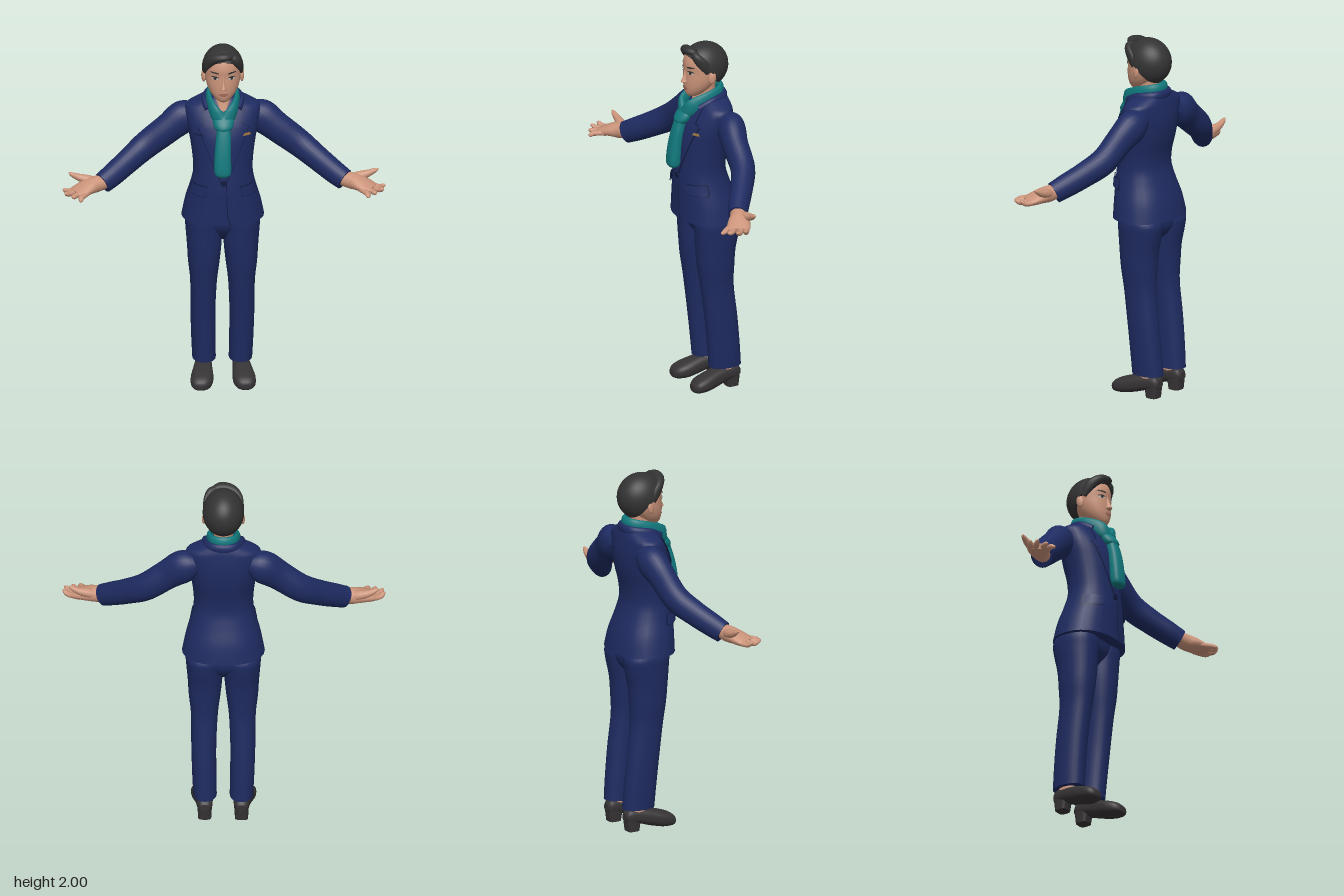
import * as THREE from 'three';

const mat = (name, color) => Object.assign(new THREE.MeshStandardMaterial({ color, side: THREE.DoubleSide }), { name });
const V = (x, y, z) => new THREE.Vector3(x, y, z);

// Catmull-Rom resampling of number rows
function smooth(rows, k = 5) {
  const out = [], at = i => rows[Math.min(Math.max(i, 0), rows.length - 1)];
  for (let i = 0; i < rows.length - 1; i++) {
    for (let j = 0; j < k; j++) {
      const t = j / k;
      out.push(rows[i].map((b, c) => {
        const a = at(i - 1)[c], d = at(i + 1)[c], e = at(i + 2)[c];
        return 0.5 * (2 * b + (d - a) * t + (2 * a - 5 * b + 4 * d - e) * t * t + (3 * b - a - 3 * d + e) * t ** 3);
      }));
    }
  }
  out.push(rows[rows.length - 1]);
  return out;
}

// Superellipse ring around c with half axes u and v (u x v points along the loft)
function ring(c, u, v, p = 2, n = 28) {
  return Array.from({ length: n }, (_, i) => {
    const a = i / n * Math.PI * 2, cs = Math.cos(a), sn = Math.sin(a);
    return c.clone()
      .addScaledVector(u, Math.sign(cs) * Math.abs(cs) ** (2 / p))
      .addScaledVector(v, Math.sign(sn) * Math.abs(sn) ** (2 / p));
  });
}

// Skin over rings, with sharp-edged caps
function loft(rings) {
  const pos = [], idx = [], n = rings[0].length, m = rings.length;
  const put = q => pos.push(q.x, q.y, q.z) / 3 - 1;
  rings.forEach(r => r.forEach(put));
  for (let i = 0; i < m - 1; i++) {
    for (let j = 0; j < n; j++) {
      const a = i * n + j, b = i * n + (j + 1) % n;
      idx.push(a, b, b + n, a, b + n, a + n);
    }
  }
  [rings[0], rings[m - 1]].forEach((r, end) => {
    const c = put(r.reduce((s, q) => s.add(q), V(0, 0, 0)).divideScalar(n));
    const o = r.map(put)[0];
    for (let j = 0; j < n; j++) {
      const a = o + j, b = o + (j + 1) % n;
      end ? idx.push(c, a, b) : idx.push(c, b, a);
    }
  });
  return build(pos, idx);
}

function build(pos, idx) {
  const g = new THREE.BufferGeometry();
  g.setAttribute('position', new THREE.Float32BufferAttribute(pos, 3));
  g.setIndex(idx);
  g.computeVertexNormals();
  return g;
}

// Rising stack of rows [y, centre x, half width, front z, back z]
const stack = (rows, p = 2) => loft(smooth(rows).map(([y, x, rx, f, b]) =>
  ring(V(x, y, (f + b) / 2), V(0, 0, (f - b) / 2), V(rx, 0, 0), p)));

// Tube along rows [x, y, z, horizontal radius, vertical radius]
function sweep(rows, n = 18) {
  const r = smooth(rows), pt = r.map(q => V(q[0], q[1], q[2]));
  return loft(r.map((q, i) => {
    const t = pt[Math.min(i + 1, r.length - 1)].clone().sub(pt[Math.max(i - 1, 0)]).normalize();
    const u = V(0, 1, 0).cross(t).normalize(), v = t.clone().cross(u);
    return ring(pt[i], u.multiplyScalar(q[3]), v.multiplyScalar(q[4]), 2, n);
  }));
}

// Thin face lying on the front of a stack, rows [y, left x, right x]
function patch(profile, rows, off, p = 2) {
  const prof = smooth(profile), pos = [], idx = [], cols = 8, k = 5;
  const front = (x, y) => {
    let i = prof.findIndex(q => q[0] > y);
    if (i < 1) i = i < 0 ? prof.length - 1 : 1;
    const a = prof[i - 1], b = prof[i], t = (y - a[0]) / (b[0] - a[0]);
    const [, , rx, f, z] = a.map((q, c) => q + (b[c] - q) * t);
    return (f + z) / 2 + (f - z) / 2 * (1 - Math.min(Math.abs(x / rx), 0.98) ** p) ** (1 / p);
  };
  const all = rows.slice(0, -1).flatMap((r, i) => Array.from({ length: k }, (_, j) =>
    r.map((q, c) => q + (rows[i + 1][c] - q) * j / k))).concat([rows[rows.length - 1]]);
  all.forEach(([y, l, r], i) => {
    for (let j = 0; j <= cols; j++) {
      const x = l + (r - l) * j / cols, a = i * (cols + 1) + j, b = a + cols + 1;
      pos.push(x, y, front(x, y) + off);
      if (i < all.length - 1 && j < cols) idx.push(a, a + 1, b + 1, a, b + 1, b);
    }
  });
  return build(pos, idx);
}
const side = (rows, s) => s > 0 ? rows : rows.map(([y, l, r]) => [y, -r, -l]);
const mx = (rows, s, c = 0) => rows.map(r => r.map((q, i) => i === c ? q * s : q));

const TORSO = [[1, 0, .225, .1, -.245], [1.1, 0, .205, .1, -.225], [1.2, 0, .177, .1, -.19], [1.28, 0, .162, .095, -.167],
  [1.36, 0, .165, .09, -.17], [1.45, 0, .177, .085, -.19], [1.52, 0, .19, .073, -.198], [1.58, 0, .2, .05, -.198],
  [1.64, 0, .203, .016, -.19], [1.67, 0, .16, 0, -.185], [1.703, 0, .085, -.02, -.175]];
const HEAD = [[1.703, 0, .024, .034, -.03], [1.72, 0, .047, .047, -.06], [1.755, 0, .074, .054, -.1], [1.8, 0, .092, .055, -.14],
  [1.85, 0, .099, .052, -.16], [1.9, 0, .1, .053, -.17], [1.95, 0, .085, .035, -.15], [1.98, 0, .05, 0, -.11]];

export function createModel() {
  const model = new THREE.Group();
  const navy = mat('navy cloth', 0x1e2b61), seam = mat('dark seam', 0x121a40), teal = mat('teal silk', 0x11797d),
    skin = mat('skin', 0xcb947a), lip = mat('lip', 0xa86d5f), hair = mat('black hair', 0x333333),
    shoe = mat('shoe leather', 0x363335), white = mat('eye white', 0xc8beb8), gold = mat('gold', 0x9a7440);
  const add = (name, g, m) => {
    const mesh = new THREE.Mesh(g, m);
    mesh.name = name;
    model.add(mesh);
    return mesh;
  };

  // Jacket body, collar and front closure
  add('jacket', stack(TORSO, 2.2), navy);
  add('jacketCollar', sweep([[-.085, 1.65, .01, .016, .02], [-.102, 1.68, -.06, .016, .026], [-.07, 1.692, -.145, .018, .028],
    [0, 1.695, -.168, .018, .028], [.07, 1.692, -.145, .018, .028], [.102, 1.68, -.06, .016, .026], [.085, 1.65, .01, .016, .02]]), navy);
  add('frontClosure', patch(TORSO, [[1.0, .034, .04], [1.05, .018, .023], [1.25, .012, .016]], .004, 2.2), seam);
  const button = add('button', new THREE.CylinderGeometry(.017, .017, .008, 16), seam);
  button.rotation.x = Math.PI / 2;
  button.position.set(0, 1.25, .102);

  // Trouser seat joining the legs
  add('trouserSeat', stack([[.86, 0, .03, -.04, -.13], [.9, 0, .07, -.005, -.175], [.95, 0, .14, .025, -.2], [1.02, 0, .19, .035, -.2]], 2.4), navy);

  // Neck scarf: loop, knot and hanging tail
  const loop = [[.015, 1.612, .06, .024, .036], [.052, 1.655, .038, .021, .042], [.077, 1.695, -.05, .016, .041], [.055, 1.722, -.13, .017, .034]];
  add('scarfLoop', sweep([...mx(loop, -1), [0, 1.728, -.155, .018, .032], ...loop.slice().reverse()]), teal);
  add('scarfKnot', stack([[1.55, 0, .032, .105, .05], [1.575, 0, .052, .115, .03], [1.61, 0, .056, .095, .02], [1.635, 0, .035, .07, .03]]), teal);
  add('scarfTail', stack([[1.305, -.004, .034, .148, .1], [1.33, -.006, .046, .156, .09], [1.42, -.006, .045, .147, .08],
    [1.5, -.002, .042, .131, .07], [1.56, 0, .038, .113, .05], [1.59, 0, .038, .1, .05]], 2.6), teal);

  // Neck, head and hair
  add('neck', stack([[1.58, 0, .075, .035, -.13], [1.66, 0, .058, .01, -.13], [1.72, 0, .052, -.005, -.125], [1.8, 0, .055, 0, -.13]]), skin);
  add('head', stack(HEAD), skin);
  add('nose', stack([[1.782, 0, .012, .06, .03], [1.79, 0, .019, .077, .03], [1.8, 0, .015, .074, .03],
    [1.83, 0, .009, .061, .03], [1.865, 0, .007, .052, .03]]), skin);
  add('lips', patch(HEAD, [[1.745, -.008, .008], [1.752, -.022, .022], [1.758, -.028, .028], [1.764, -.012, .012]], .004), lip);
  const limits = [2.6, 2.3, 1.72, 1.28, .95];
  const cap = Array.from({ length: 17 }, (_, i) => Array.from({ length: 40 }, (_, j) => {
    const a = j / 40 * Math.PI * 2, f = (Math.cos(a) + 1) * 2, k = Math.min(Math.floor(f), 3);
    const th = (limits[k] + (limits[k + 1] - limits[k]) * (f - k)) * (1 - i / 16.3);
    return V(.113 * Math.sin(th) * Math.sin(a), 1.867 + .13 * Math.cos(th), -.065 + .135 * Math.sin(th) * Math.cos(a));
  }));
  add('hairCap', loft(cap), hair);
  add('hairSweepRight', sweep([[.05, 1.968, .015, .018, .016], [.01, 1.971, .034, .03, .022], [-.045, 1.957, .026, .028, .026],
    [-.083, 1.918, -.004, .021, .03], [-.1, 1.86, -.045, .011, .022]]), hair);
  add('hairSweepLeft', sweep([[.035, 1.968, .018, .018, .016], [.068, 1.945, .018, .022, .026],
    [.091, 1.908, -.01, .017, .03], [.1, 1.86, -.045, .011, .022]]), hair);

  for (const s of [1, -1]) {
    const tag = s > 0 ? 'left' : 'right';

    // Face details
    add(tag + 'Eye', patch(HEAD, side([[1.841, .038, .052], [1.85, .025, .065], [1.858, .035, .058]], s), .003), white);
    add(tag + 'Iris', patch(HEAD, side([[1.842, .041, .05], [1.85, .037, .054], [1.857, .041, .05]], s), .005), hair);
    add(tag + 'Eyelid', patch(HEAD, side([[1.854, .023, .069], [1.859, .031, .062], [1.862, .039, .053]], s), .004), hair);
    add(tag + 'Eyebrow', patch(HEAD, side([[1.876, .024, .032], [1.882, .024, .072], [1.887, .042, .064]], s), .004), hair);
    const ear = add(tag + 'Ear', new THREE.SphereGeometry(1, 14, 10), skin);
    ear.scale.set(.012, .036, .021);
    ear.position.set(s * .104, 1.825, -.06);
    ear.rotation.set(-.15, s * -.3, 0);

    // Lapels, pockets and chest details
    add(tag + 'LapelEdge', patch(TORSO, side([[1.25, 0, .015], [1.4, .005, .077], [1.555, .025, .14], [1.58, .03, .106], [1.655, .05, .11]], s), .005, 2.2), seam);
    add(tag + 'Lapel', patch(TORSO, side([[1.256, 0, .01], [1.4, .005, .073], [1.56, .025, .135], [1.577, .03, .102], [1.655, .05, .106]], s), .009, 2.2), navy);
    add(tag + 'PocketEdge', patch(TORSO, side([[1.163, .1, .183], [1.228, .088, .17]], s), .008, 2.2), seam);
    add(tag + 'PocketFlap', patch(TORSO, side([[1.168, .102, .181], [1.224, .091, .168]], s), .014, 2.2), navy);
    add(tag + 'ChestDetail', patch(TORSO, side(s > 0 ? [[1.515, .105, .15], [1.53, .115, .142]] : [[1.515, .1, .155], [1.522, .1, .155]], s), .011, 2.2), s > 0 ? gold : seam);

    // Sleeves
    add(tag + 'Sleeve', sweep(mx([[.15, 1.583, -.115, .065, .06], [.212, 1.557, -.118, .077, .092], [.3, 1.492, -.1, .07, .083],
      [.42, 1.402, -.083, .067, .077], [.52, 1.335, -.022, .062, .07], [.6, 1.285, .035, .058, .066], [.658, 1.252, .073, .053, .061]], s), 24), navy);

    // Open palm-up hands
    add(tag + 'Palm', sweep(mx([[.63, 1.262, .064, .038, .038], [.69, 1.253, .084, .046, .045], [.735, 1.246, .104, .06, .038],
      [.785, 1.233, .132, .064, .025], [.812, 1.228, .146, .054, .015]], s)), skin);
    [[.812, .098, .876, .137, 1.24], [.815, .128, .866, .182, 1.236], [.795, .156, .824, .215, 1.228], [.768, .172, .783, .237, 1.218]]
      .forEach(([x, z, tx, tz, ty], i) => add(tag + 'Finger' + (i + 1), sweep(mx([[x - .03, 1.232, z - .018, .017, .016],
        [(x + tx) / 2, 1.226, (z + tz) / 2, .0165, .0145], [tx - (tx - x) * .15, ty, tz - (tz - z) * .15, .0125, .011], [tx, ty + .003, tz, .004, .004]], s), 10), skin));
    add(tag + 'Thumb', sweep(mx([[.68, 1.252, .073, .026, .026], [.735, 1.268, .065, .027, .027], [.785, 1.282, .06, .02, .02],
      [.825, 1.301, .062, .013, .012], [.84, 1.311, .064, .004, .004]], s), 10), skin);

    // Trouser legs, ankles and shoes
    add(tag + 'TrouserLeg', stack(mx([[.125, .099, .064, -.045, -.23], [.25, .103, .066, -.035, -.22], [.42, .106, .068, -.018, -.203],
      [.6, .103, .073, .005, -.182], [.72, .102, .086, .022, -.184], [.82, .1, .094, .031, -.192], [.92, .102, .1, .037, -.212],
      [.985, .103, .102, .04, -.215], [1.04, .1, .09, .03, -.17]], s, 1), 2.2), navy);
    add(tag + 'Ankle', stack(mx([[.07, .103, .04, -.08, -.2], [.15, .1, .038, -.09, -.195]], s, 1)), skin);
    const upper = smooth([[-.222, .1, .058, .1, .025], [-.2, .1, .045, .122, .04], [-.14, .103, .036, .122, .046], [-.08, .108, .018, .115, .053],
      [-.01, .114, .003, .095, .062], [.04, .119, .002, .076, .056], [.066, .121, .008, .056, .036], [.073, .121, .018, .04, .014]]);
    add(tag + 'Shoe', loft(upper.map(([z, x, lo, hi, r]) => ring(V(s * x, (lo + hi) / 2, z), V(r, 0, 0), V(0, (hi - lo) / 2, 0), 2.5))), shoe);
    add(tag + 'ShoeHeel', stack(mx([[0, .1, .036, -.142, -.212], [.04, .1, .038, -.135, -.217], [.07, .1, .04, -.13, -.22]], s, 1), 3.5), shoe);
  }
  return model;
}
